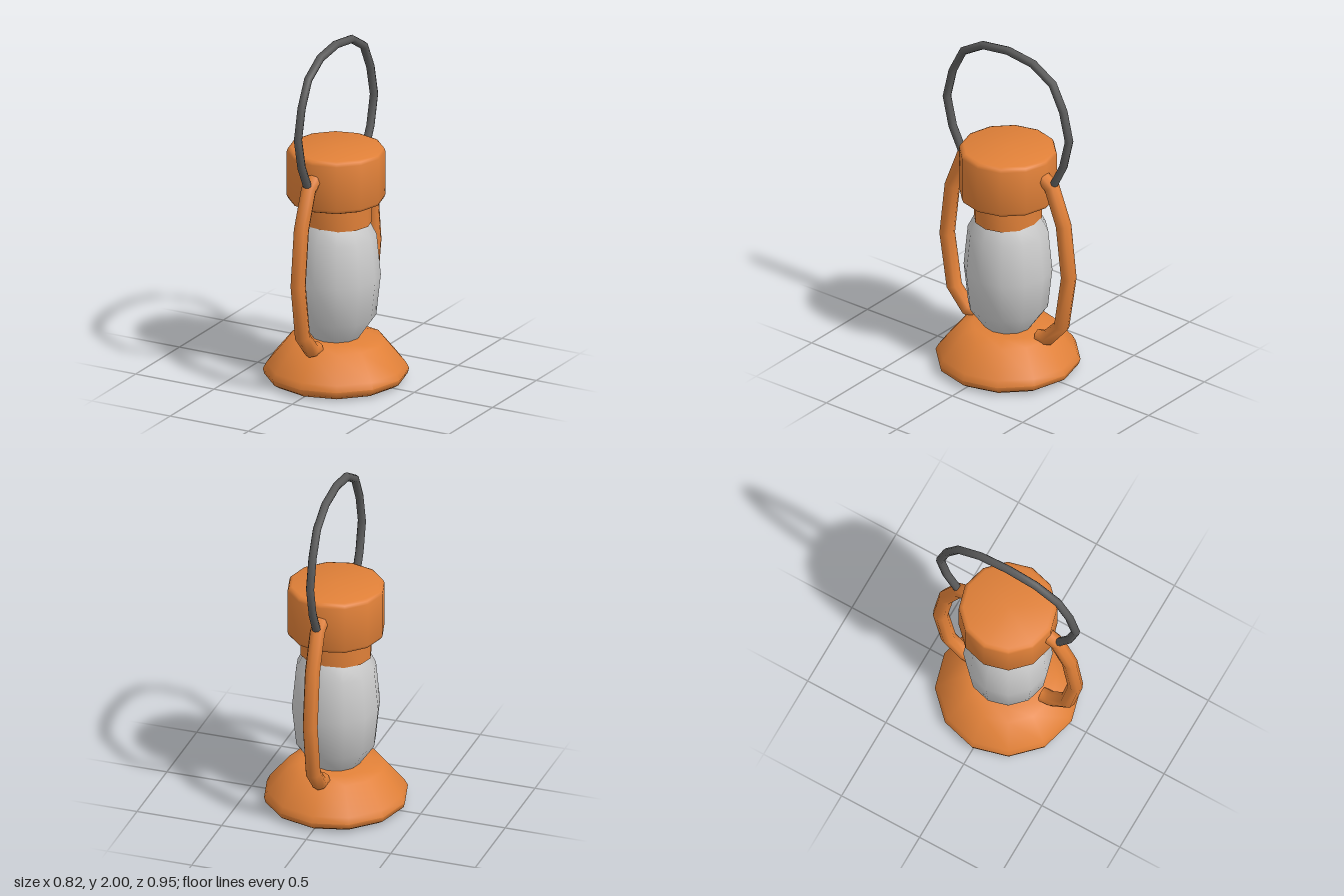
import * as THREE from 'three';
import { toCreasedNormals } from 'three/addons/utils/BufferGeometryUtils.js';

const paint = new THREE.MeshStandardMaterial({ color: 0xe08038 });
const wire = new THREE.MeshStandardMaterial({ color: 0x5a5a5a });
const glass = new THREE.MeshStandardMaterial({ color: 0xcccccc });

// Straight segments with mitred corners, one tube ring per point
class Polyline extends THREE.Curve {
  constructor(points) {
    super();
    this.points = points;
  }
  getPoint(t, target = new THREE.Vector3()) {
    const n = this.points.length - 1;
    const i = Math.min(Math.floor(t * n), n - 1);
    return target.lerpVectors(this.points[i], this.points[i + 1], t * n - i);
  }
  getPointAt(u, target) { return this.getPoint(u, target); }
  getTangentAt(u, target) { return this.getTangent(u, target); }
}

// Twelve-sided turned part from [radius, height] pairs, bottom to top
function turned(name, profile, material) {
  const points = profile.map(([r, y]) => new THREE.Vector2(r, y));
  const mesh = new THREE.Mesh(toCreasedNormals(new THREE.LatheGeometry(points, 12), 0.85), material);
  mesh.name = name;
  return mesh;
}

// Capped rod in the side plane from [z, y] pairs
function rod(name, path, radius, sides, material) {
  const curve = new Polyline(path.map(([z, y]) => new THREE.Vector3(0, y, z)));
  const group = new THREE.Group();
  group.name = name;
  group.add(new THREE.Mesh(new THREE.TubeGeometry(curve, path.length - 1, radius, sides), material));
  for (const end of [0, 1]) {
    const cap = new THREE.Mesh(new THREE.CircleGeometry(radius, sides), material);
    const outward = curve.getTangentAt(end).multiplyScalar(end ? 1 : -1);
    cap.position.copy(curve.getPoint(end));
    cap.lookAt(cap.position.clone().add(outward));
    group.add(cap);
  }
  return group;
}

export function createModel() {
  const lantern = new THREE.Group();
  lantern.name = 'lantern';

  // Body, from the foot upwards
  lantern.add(turned('base', [[0, 0], [0.37, 0.005], [0.4, 0.025], [0.408, 0.055], [0.39, 0.09],
    [0.275, 0.23], [0.2, 0.255], [0, 0.255]], paint));
  lantern.add(turned('glassGlobe', [[0, 0.24], [0.13, 0.24], [0.225, 0.375], [0.25, 0.61],
    [0.227, 0.85], [0.185, 0.935], [0, 0.935]], glass));
  const collar = turned('collar', [[0, 0.93], [0.204, 0.93], [0.204, 1.08], [0, 1.08]], paint);
  collar.scale.z = 0.905;
  lantern.add(collar);
  lantern.add(turned('cap', [[0, 1.06], [0.25, 1.06], [0.268, 1.068], [0.275, 1.085],
    [0.275, 1.345], [0.268, 1.362], [0.25, 1.37], [0, 1.37]], paint));

  // Side arms, mirrored front to back
  const arm = [[0.22, 0.24], [0.28, 0.25], [0.382, 0.362], [0.432, 0.68],
    [0.395, 1.0], [0.312, 1.215], [0.245, 1.255]];
  for (const [name, side] of [['frontArm', 1], ['backArm', -1]]) {
    lantern.add(rod(name, arm.map(([z, y]) => [z * side, y]), 0.044, 8, paint));
  }

  // Wire carrying handle
  const half = [[0.325, 1.235], [0.393, 1.37], [0.434, 1.545], [0.393, 1.72], [0.318, 1.868], [0.178, 1.952]];
  const mirrored = half.map(([z, y]) => [-z, y]).reverse();
  lantern.add(rod('handle', [...half, [0, 1.976], ...mirrored], 0.024, 8, wire));

  return lantern;
}
